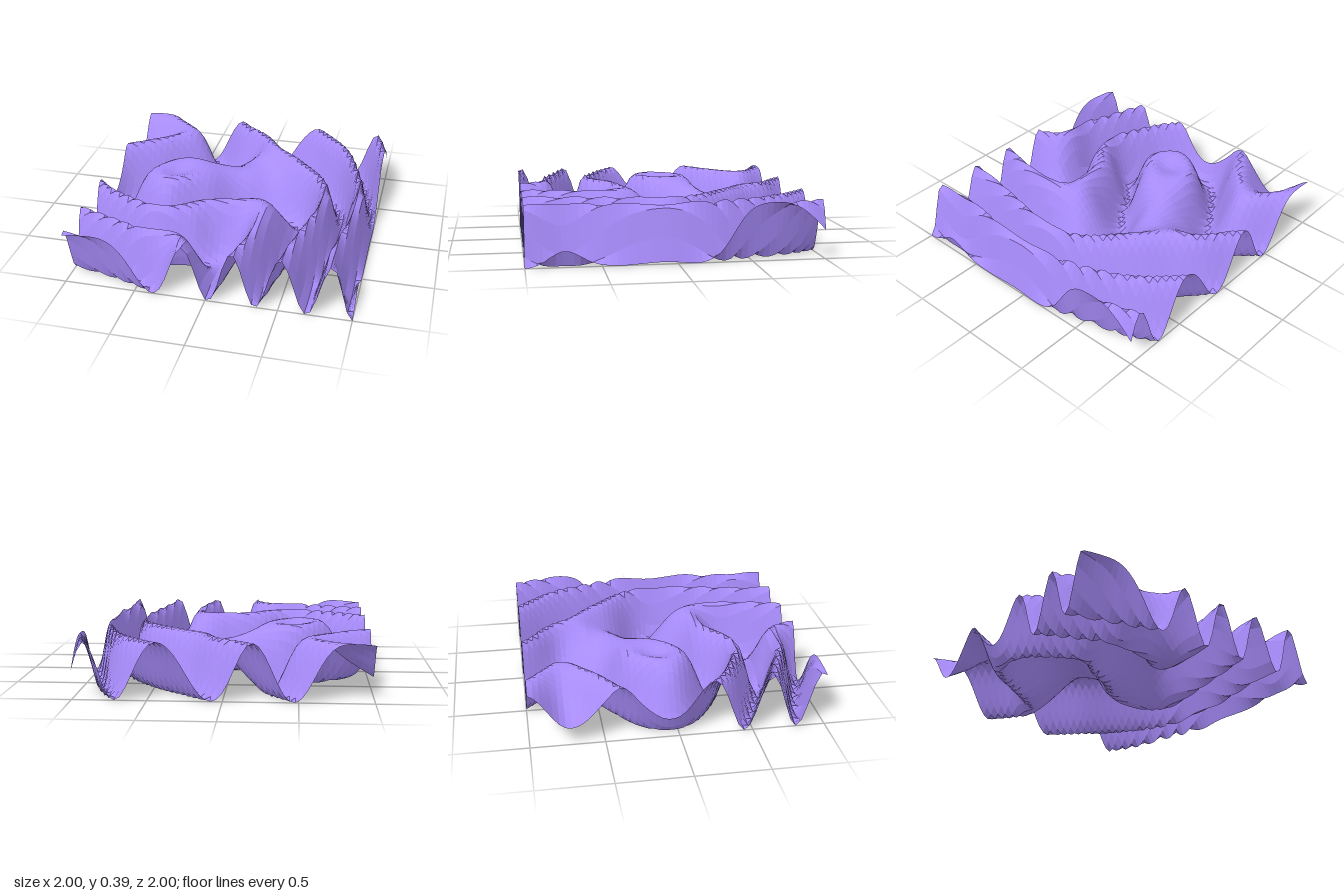
import * as THREE from 'three';

// Wave phase in half cycles on a 9 x 9 lattice: rows run z = -1..1, columns x = -1..1
const PHASE = [
  [-1.1, -0.85, -0.1, 0.8, 1.75, 2.5, 3.2, 4.15, 5.5],
  [-1.62, -1.33, -0.8, 0.13, 0.73, 1.67, 2.4, 3.4, 5.1],
  [-1.33, -0.82, -0.08, 0.4, 0.68, 0.92, 1.65, 2.75, 4.8],
  [-0.6, 0.25, 0.98, 0.85, 0.62, 0.43, 0.87, 2.1, 4.2],
  [-0.42, 0.65, 1.14, 0.68, -0.08, -0.37, 0.05, 1.8, 3.9],
  [-1.08, -0.22, 0.29, -0.53, -0.85, -0.9, 0.1, 1.85, 3.92],
  [-2.3, -1.65, -1.08, -1.35, -1.87, -1.1, 0.4, 2.15, 4.1],
  [-3.7, -3.22, -2.65, -2.72, -2.14, -0.95, 0.72, 2.42, 4.35],
  [-5.15, -4.95, -4.42, -3.48, -2.1, -0.57, 0.95, 2.34, 4.0],
];

// Smooth cubic through evenly spaced values, t in -1..1
function spline(values, t) {
  const n = values.length - 1;
  const s = ((t + 1) / 2) * n;
  const i = Math.max(0, Math.min(n - 1, Math.floor(s)));
  const f = s - i;
  const b = values[i], c = values[i + 1];
  const a = i > 0 ? values[i - 1] : 2 * b - c;
  const d = i < n - 1 ? values[i + 2] : 2 * c - b;
  return b + 0.5 * f * (c - a + f * (2 * a - 5 * b + 4 * c - d + f * (3 * (b - c) + d - a)));
}

// Even phases are valley floors, odd phases are crests
function height(x, z) {
  const phase = spline(PHASE.map((row) => spline(row, x)), z);
  return 0.2 - 0.197 * Math.cos(Math.PI * phase);
}

// One flat normal per square cell, taken from its two diagonals
function shadeByCell(geometry) {
  const { position, normal } = geometry.attributes;
  const corner = (i) => new THREE.Vector3().fromBufferAttribute(position, i);
  for (let i = 0; i < position.count; i += 6) {
    const along = corner(i + 4).sub(corner(i));
    const across = corner(i + 2).sub(corner(i + 1));
    const n = along.cross(across).normalize();
    for (let k = 0; k < 6; k++) normal.setXYZ(i + k, n.x, n.y, n.z);
  }
}

export function createModel() {
  const group = new THREE.Group();
  group.name = 'rippledSurface';

  // Square sheet displaced into winding ridges and troughs
  const geometry = new THREE.PlaneGeometry(2, 2, 50, 50).rotateX(-Math.PI / 2).toNonIndexed();
  const position = geometry.attributes.position;
  for (let i = 0; i < position.count; i++) {
    position.setY(i, height(position.getX(i), position.getZ(i)));
  }
  shadeByCell(geometry);

  const sheet = new THREE.Mesh(
    geometry,
    new THREE.MeshStandardMaterial({ color: 0xa78bfa, side: THREE.DoubleSide })
  );
  sheet.name = 'waveSheet';
  group.add(sheet);
  return group;
}
